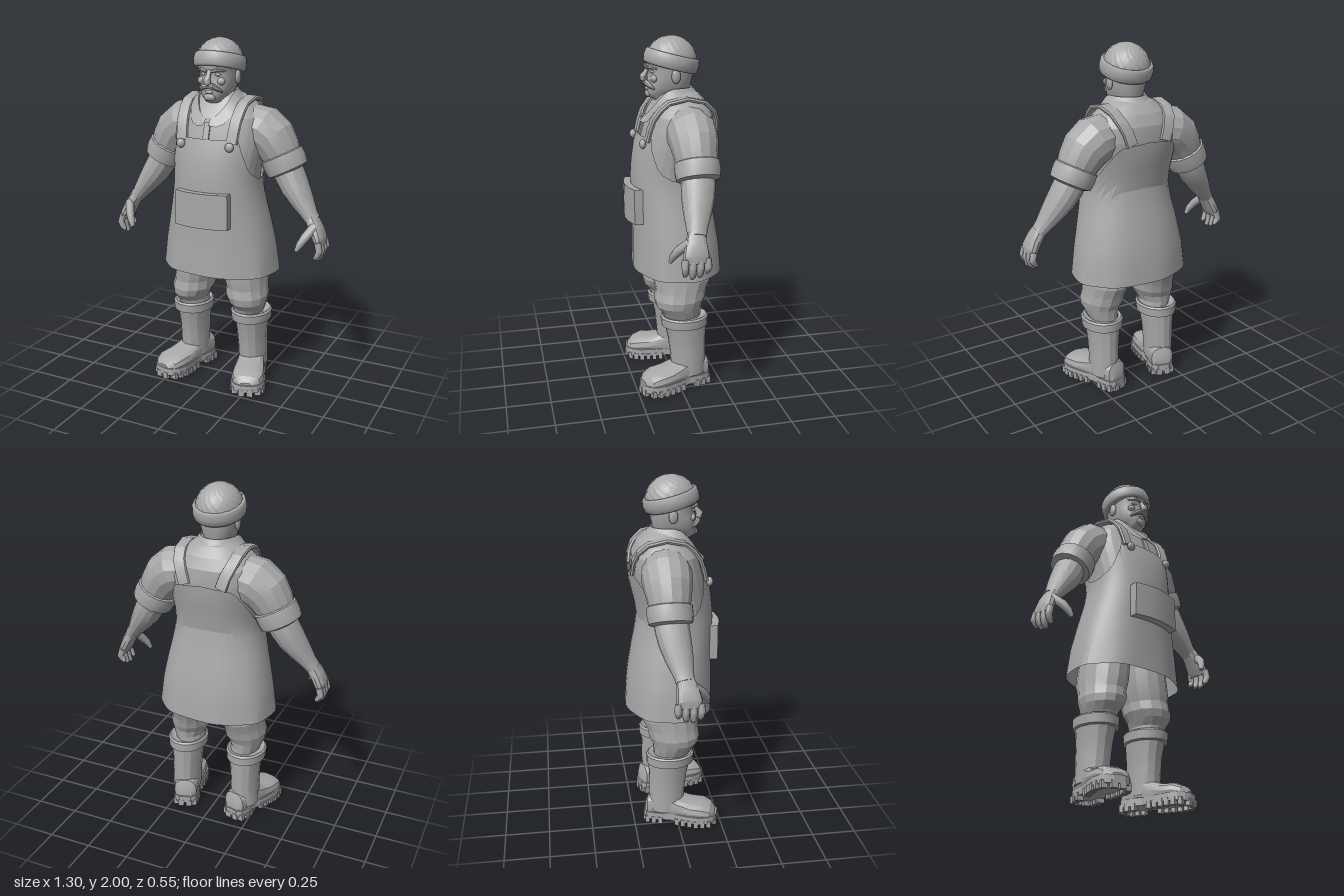
import * as THREE from 'three';
import { toCreasedNormals } from 'three/addons/utils/BufferGeometryUtils.js';

const grey = new THREE.MeshStandardMaterial({ color: 0xa8a8a8, side: THREE.DoubleSide });
grey.name = 'clay grey';

const V = (x, y, z) => new THREE.Vector3(x, y, z);

function add(parent, name, geometry) {
  const mesh = new THREE.Mesh(geometry, grey);
  mesh.name = name;
  parent.add(mesh);
  return mesh;
}

// Skin a list of equal-length point rings; closed rings wrap round and may be capped
function skin(rings, { closed = true, caps = true, crease = 0.45 } = {}) {
  const n = rings[0].length, pos = [], idx = [];
  rings.forEach(r => r.forEach(p => pos.push(p.x, p.y, p.z)));
  for (let i = 0; i < rings.length - 1; i++)
    for (let j = 0; j < (closed ? n : n - 1); j++) {
      const a = i * n + j, b = i * n + (j + 1) % n;
      idx.push(a, b, b + n, a, b + n, a + n);
    }
  if (closed && caps) [0, rings.length - 1].forEach((i, end) => {
    const c = rings[i].reduce((s, p) => s.add(p), V(0, 0, 0)).divideScalar(n);
    const k = pos.length / 3;
    pos.push(c.x, c.y, c.z);
    for (let j = 0; j < n; j++) {
      const a = i * n + j, b = i * n + (j + 1) % n;
      end ? idx.push(k, a, b) : idx.push(k, b, a);
    }
  });
  const g = new THREE.BufferGeometry();
  g.setAttribute('position', new THREE.Float32BufferAttribute(pos, 3));
  g.setIndex(idx);
  return toCreasedNormals(g, crease);
}

// Tube through rows [x, y, z, ru, rv]; rv lies along ref, ru across it
function limb(rows, { seg = 14, ref = V(0, 0, 1), dir = null, p = 2, crease } = {}) {
  const c = rows.map(r => V(r[0], r[1], r[2]));
  const rings = rows.map((r, i) => {
    const t = dir ? dir.clone() : c[Math.min(i + 1, c.length - 1)].clone().sub(c[Math.max(i - 1, 0)]).normalize();
    const v = ref.clone().addScaledVector(t, -ref.dot(t)).normalize();
    const u = v.clone().cross(t);
    return Array.from({ length: seg }, (_, j) => {
      const a = j / seg * Math.PI * 2, f = s => Math.sign(s) * Math.abs(s) ** (2 / p);
      return c[i].clone().addScaledVector(u, r[3] * f(Math.cos(a))).addScaledVector(v, (r[4] ?? r[3]) * f(Math.sin(a)));
    });
  });
  return skin(rings, { crease });
}

const UP = V(0, 1, 0);
// Horizontal slices given as [y, half width, front z, back z]
const slices = (table, opt) =>
  limb(table.map(([y, rx, f, b]) => [0, y, (f + b) / 2, rx, (f - b) / 2]), { dir: UP, ...opt });

function sample(table, y) {
  let i = 0;
  while (i < table.length - 2 && y > table[i + 1][0]) i++;
  const k = (y - table[i][0]) / (table[i + 1][0] - table[i][0]);
  return table[i].map((s, n) => s + (table[i + 1][n] - s) * k);
}

const SHIRT = [[0.82, 0.27, 0.17, -0.2], [1, 0.265, 0.2, -0.21], [1.2, 0.236, 0.21, -0.185], [1.3, 0.242, 0.205, -0.195],
  [1.4, 0.258, 0.188, -0.218], [1.5, 0.268, 0.165, -0.23], [1.58, 0.255, 0.14, -0.222], [1.64, 0.2, 0.1, -0.195],
  [1.69, 0.13, 0.075, -0.15], [1.71, 0.09, 0.05, -0.11]];
const APRON = [[0.69, 0.345, 0.225, -0.275], [0.85, 0.325, 0.222, -0.265], [1, 0.295, 0.222, -0.24], [1.12, 0.268, 0.228, -0.215],
  [1.22, 0.252, 0.23, -0.2], [1.3, 0.257, 0.225, -0.212], [1.4, 0.272, 0.21, -0.235], [1.47, 0.285, 0.19, -0.25], [1.53, 0.28, 0.172, -0.246]];

// Apron: wraps the body, with a bib in front, a raised back and low armholes
function apron() {
  const edge = [[0, 1.47], [0.66, 1.47], [0.8, 1.4], [1.1, 1.29], [1.5, 1.24], [1.8, 1.25], [2.55, 1.48], [3.15, 1.5]];
  const rings = [], rows = 12, cols = 48, f = s => Math.sign(s) * Math.abs(s) ** (2 / 2.2);
  for (let i = 0; i <= rows; i++) {
    const ring = [];
    for (let j = 0; j < cols; j++) {
      let a = j / cols * Math.PI * 2;
      if (a > Math.PI) a -= Math.PI * 2;
      const k = i / rows, y = 0.69 + (sample(edge, Math.abs(a))[1] - 0.69) * k;
      const [, rx, zf, zb] = sample(APRON, y), fold = 1 + 0.015 * Math.sin(a * 8) * (1 - k) ** 2;
      ring.push(V(rx * f(Math.sin(a)) * fold, y, (zf + zb) / 2 + (zf - zb) / 2 * f(Math.cos(a)) * fold));
    }
    rings.push(ring);
  }
  return skin(rings, { caps: false, crease: 0.25 });
}

// Strap: flat band hugging the shirt from bib to back
function strap() {
  const stops = [[0.15, 1.44, 1], [0.155, 1.5, 1], [0.16, 1.56, 1], [0.165, 1.61, 1], [0.168, 1.645, 1],
    [0.165, 1.645, -1], [0.15, 1.6, -1], [0.128, 1.55, -1], [0.105, 1.48, -1]];
  const rows = stops.map(([x, y, s]) => {
    const [, rx, zf, zb] = sample(SHIRT, y);
    const z = (zf + zb) / 2 + s * ((zf - zb) / 2 * (1 - (x / rx) ** 2.3) ** (1 / 2.3) + 0.014);
    return [x, y + 0.012, z, 0.012, 0.034];
  });
  rows.splice(5, 0, [0.17, 1.678, -0.05, 0.012, 0.034]);
  return limb(rows, { seg: 8, ref: V(1, 0, 0), p: 5 });
}

function buildArm(arm) {
  add(arm, 'sleeve', limb([[0.08, 1.5, -0.05, 0.1], [0.17, 1.515, -0.055, 0.13], [0.24, 1.5, -0.06, 0.138],
    [0.3, 1.455, -0.06, 0.13], [0.335, 1.4, -0.06, 0.118], [0.36, 1.35, -0.06, 0.106]], { crease: 0.25 }));
  add(arm, 'rolledCuff', limb([[0.346, 1.376, -0.06, 0.104], [0.35, 1.368, -0.06, 0.122], [0.37, 1.328, -0.06, 0.124],
    [0.39, 1.288, -0.06, 0.118], [0.395, 1.278, -0.06, 0.088]], { seg: 16 }));
  add(arm, 'forearm', limb([[0.36, 1.34, -0.06, 0.085, 0.09], [0.405, 1.26, -0.055, 0.085, 0.092], [0.44, 1.2, -0.045, 0.08, 0.088],
    [0.49, 1.13, -0.03, 0.064, 0.075], [0.54, 1.06, -0.015, 0.045, 0.055], [0.565, 1.03, -0.01, 0.04, 0.05]]));
  add(arm, 'palm', limb([[0.55, 1.05, -0.01, 0.036, 0.046], [0.588, 0.99, 0, 0.036, 0.06],
    [0.612, 0.94, 0.005, 0.032, 0.07], [0.62, 0.905, 0.005, 0.02, 0.064]], { seg: 12, p: 2.5 }));
  [0.008, -0.008, 0, 0.02].forEach((s, k) => {
    const z = 0.064 - k * 0.039;
    add(arm, 'finger', limb([[0.618, 0.93, z, 0.02], [0.63, 0.885, z * 1.05, 0.02],
      [0.62, 0.85 + s, z, 0.018], [0.604, 0.828 + s, z, 0.01]], { seg: 8, crease: 0.9 }));
  });
  add(arm, 'thumb', limb([[0.585, 1.01, 0.03, 0.026], [0.555, 0.96, 0.085, 0.025], [0.532, 0.92, 0.11, 0.02],
    [0.515, 0.885, 0.12, 0.011]], { seg: 8, crease: 0.9 }));
}

function buildLeg(leg) {
  const col = (rows, opt) => limb(rows, { dir: UP, ...opt });
  add(leg, 'trouserLeg', col([[0.17, 0.4, -0.03, 0.08, 0.1], [0.185, 0.46, -0.02, 0.09, 0.112], [0.183, 0.5, -0.005, 0.108, 0.132],
    [0.175, 0.54, -0.01, 0.122, 0.146], [0.168, 0.59, -0.02, 0.118, 0.148], [0.158, 0.65, -0.03, 0.126, 0.166],
    [0.145, 0.75, -0.03, 0.125, 0.165], [0.13, 0.95, -0.02, 0.11, 0.15]], { crease: 0.2 }));
  add(leg, 'bootShaft', col([[0.195, 0.08, -0.06, 0.083, 0.1], [0.192, 0.2, -0.056, 0.084, 0.104],
    [0.19, 0.3, -0.05, 0.088, 0.11], [0.19, 0.4, -0.04, 0.1, 0.124]]));
  add(leg, 'bootCuff', col([[0.19, 0.378, -0.038, 0.095, 0.115], [0.19, 0.382, -0.038, 0.114, 0.135],
    [0.19, 0.432, -0.036, 0.118, 0.138], [0.19, 0.442, -0.036, 0.108, 0.128], [0.19, 0.43, -0.036, 0.085, 0.105]], { seg: 18 }));

  const foot = new THREE.Group();
  foot.name = 'foot';
  foot.position.set(0.19, 0, -0.06);
  foot.rotation.y = 0.28;
  leg.add(foot);
  // Upper: cross-sections from heel to toe as [z, half width, top]
  const upper = [[-0.118, 0.045, 0.12], [-0.1, 0.068, 0.17], [0, 0.078, 0.2], [0.08, 0.082, 0.16],
    [0.15, 0.092, 0.138], [0.22, 0.094, 0.132], [0.265, 0.078, 0.112], [0.29, 0.045, 0.08]];
  add(foot, 'bootUpper', limb(upper.map(([z, w, t]) => [0, (0.03 + t) / 2, z, w, (t - 0.03) / 2]),
    { ref: UP, dir: V(0, 0, 1), p: 2.5 }));
  // Sole plate with lugs along its rim
  const half = [[-0.127, 0.035], [-0.105, 0.066], [-0.05, 0.076], [0.03, 0.07], [0.12, 0.09], [0.2, 0.1], [0.25, 0.09], [0.285, 0.065], [0.302, 0.03]];
  const outline = [...half.map(([z, w]) => new THREE.Vector2(w, -z)), ...half.slice().reverse().map(([z, w]) => new THREE.Vector2(-w, -z))];
  const plate = new THREE.ExtrudeGeometry(new THREE.Shape(outline), { depth: 0.043, bevelEnabled: false });
  add(foot, 'sole', plate.rotateX(-Math.PI / 2).translate(0, 0.024, 0));
  const lug = (x, z) => add(foot, 'lug', new THREE.BoxGeometry(0.036, 0.04, 0.026).translate(x, 0.02, z));
  for (const z of [-0.1, -0.062, -0.024, 0.075, 0.113, 0.151, 0.189, 0.227, 0.262])
    for (const s of [-1, 1]) lug(s * (sample(half, z)[1] - 0.014), z);
  for (const z of [-0.115, 0.29]) for (const x of [-0.024, 0.024]) lug(x, z);
}

function buildHead(head) {
  add(head, 'skull', slices([[1.6, 0.075, 0.05, -0.1], [1.66, 0.07, 0.1, -0.1], [1.672, 0.058, 0.132, -0.1], [1.695, 0.076, 0.14, -0.1],
    [1.73, 0.09, 0.134, -0.108], [1.78, 0.1, 0.134, -0.118], [1.81, 0.1, 0.122, -0.12], [1.84, 0.104, 0.138, -0.125],
    [1.9, 0.108, 0.125, -0.12]], { seg: 24, p: 2.3, crease: 0.9 }));
  add(head, 'nose', limb([[0, 1.835, 0.128, 0.012], [0, 1.805, 0.142, 0.013], [0, 1.785, 0.155, 0.02],
    [0, 1.772, 0.152, 0.022], [0, 1.762, 0.138, 0.014]], { seg: 8, crease: 0.9 }));
  const ball = (name, x, y, z, sx, sy, sz) =>
    add(head, name, new THREE.SphereGeometry(1, 10, 8).scale(sx, sy, sz).translate(x, y, z));
  ball('lowerLip', 0, 1.718, 0.132, 0.026, 0.01, 0.014);
  ball('chin', 0, 1.69, 0.128, 0.036, 0.022, 0.018);
  for (const s of [-1, 1]) {
    ball('ear', s * 0.108, 1.79, -0.005, 0.014, 0.04, 0.026);
    ball('eye', s * 0.042, 1.812, 0.112, 0.018, 0.01, 0.012);
    ball('cheek', s * 0.055, 1.775, 0.105, 0.028, 0.022, 0.02);
    add(head, 'eyebrow', limb([[s * 0.012, 1.828, 0.138, 0.008], [s * 0.045, 1.838, 0.132, 0.011], [s * 0.082, 1.83, 0.098, 0.005]], { seg: 6 }));
    add(head, 'moustache', limb([[0, 1.752, 0.142, 0.013], [s * 0.025, 1.75, 0.142, 0.017], [s * 0.05, 1.735, 0.126, 0.013],
      [s * 0.068, 1.718, 0.106, 0.004]], { seg: 8 }));
  }
  // Knitted cap: ribbed crown and folded brim, tipped back
  const cap = new THREE.Group();
  cap.name = 'knitCap';
  cap.position.set(0, 1.865, -0.003);
  cap.rotation.x = -0.25;
  cap.scale.z = 1.08;
  head.add(cap);
  const crown = new THREE.SphereGeometry(0.13, 72, 18, 0, Math.PI * 2, 0, Math.PI / 2);
  const p = crown.attributes.position;
  for (let i = 0; i < p.count; i++) {
    const a = Math.atan2(p.getZ(i), p.getX(i)), h = p.getY(i) / 0.13;
    const k = 1 + 0.022 * Math.cos(a * 18) * Math.cos(h * 22) * Math.sqrt(Math.max(0, 1 - h * h));
    p.setXYZ(i, p.getX(i) * k, p.getY(i) * k * 1.04, p.getZ(i) * k);
  }
  crown.computeVertexNormals();
  add(cap, 'crown', crown);
  const band = [[0.1, -0.036], [0.132, -0.041], [0.142, -0.03], [0.146, 0], [0.142, 0.03], [0.134, 0.04], [0.118, 0.036]];
  add(cap, 'brim', new THREE.LatheGeometry(band.map(([x, y]) => new THREE.Vector2(x, y)), 28));
}

export function createModel() {
  const model = new THREE.Group();
  model.name = 'workman';
  add(model, 'shirt', slices(SHIRT, { seg: 28, p: 2.3, crease: 0.25 }));
  add(model, 'apron', apron());

  // Pocket: bowed front, hung on the apron
  const plan = [[-0.158, 0.17], [0.158, 0.17], [0.16, 0.24], [0.08, 0.262], [0, 0.27], [-0.08, 0.262], [-0.16, 0.24]];
  add(model, 'pocket', skin([[0.985, 1], [1.165, 0.985], [1.182, 0.97]].map(([y, k]) => plan.map(([x, z]) => V(x * k, y, z)).reverse())));

  // Collar: open ring that dips to a V with pointed lapels
  const rim = [0, 1, 2].map(() => []);
  for (let i = 0; i <= 24; i++) {
    const a = 0.12 + (Math.PI * 2 - 0.24) * i / 24, c = Math.cos(a), s = Math.sin(a);
    const dip = Math.max(0, c) ** 1.5, point = Math.exp(-(((Math.abs(s) - 0.5) / 0.2) ** 2)) * Math.max(0, Math.sign(c));
    rim[0].push(V(0.098 * s, 1.7 - 0.14 * dip, 0.015 + 0.125 * c));
    rim[1].push(V(0.105 * s, 1.722 - 0.15 * dip, 0.015 + 0.135 * c));
    rim[2].push(V(0.15 * s + 0.02 * s * point, 1.668 - 0.125 * dip - 0.03 * point, 0.008 + 0.175 * c));
  }
  add(model, 'collar', skin(rim, { closed: false }));
  add(model, 'placket', new THREE.BoxGeometry(0.035, 0.1, 0.008).rotateX(-0.3).translate(0, 1.51, 0.166));

  for (const s of [-1, 1]) {
    const half = new THREE.Group();
    half.name = s > 0 ? 'leftSide' : 'rightSide';
    half.scale.x = s;
    model.add(half);
    add(half, 'strap', strap());
    add(half, 'button', new THREE.SphereGeometry(0.026, 12, 8).scale(1, 1, 0.7).translate(0.147, 1.437, 0.19));
    buildArm(half);
    buildLeg(half);
  }
  const head = new THREE.Group();
  head.name = 'head';
  model.add(head);
  buildHead(head);
  return model;
}
